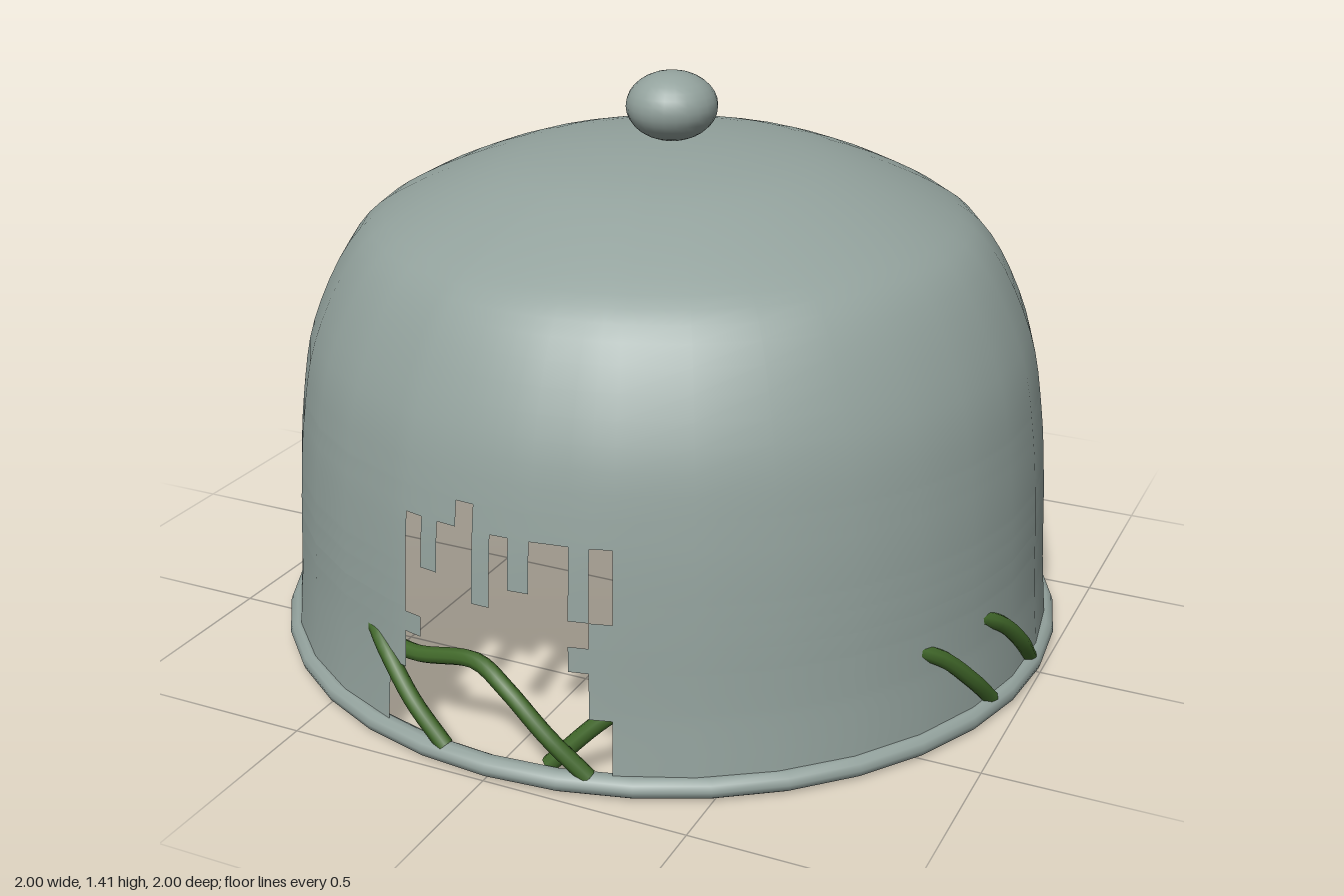
import * as THREE from 'three';

const rad = THREE.MathUtils.degToRad;
// point on the wall: angle 0 is the front, 90 is +x
const polar = (deg, r, y) => new THREE.Vector3(r * Math.sin(rad(deg)), y, r * Math.cos(rad(deg)));

// smooth dome outline as (radius, height)
const profile = new THREE.SplineCurve([
  [0.975, 0.03], [0.96, 0.2], [0.95, 0.4], [0.932, 0.6], [0.893, 0.8], [0.795, 1.0],
  [0.67, 1.1], [0.43, 1.2], [0.2, 1.24], [0, 1.25],
].map(([r, y]) => new THREE.Vector2(r, y))).getPoints(36);

function wallRadius(y) {
  for (let i = 1; i < profile.length; i++) {
    const a = profile[i - 1], b = profile[i];
    if (y <= b.y) return THREE.MathUtils.mapLinear(y, a.y, b.y, a.x, b.x);
  }
  return 0;
}

// ragged opening: [left x, right x, open height ranges]
const opening = [
  [-0.28, -0.23, [[0.05, 0.2]]],
  [-0.23, -0.185, [[0.05, 0.29], [0.34, 0.58]]],
  [-0.185, -0.14, [[0.05, 0.46]]],
  [-0.14, -0.09, [[0.05, 0.58]]],
  [-0.09, -0.045, [[0.05, 0.64]]],
  [-0.045, 0, [[0.05, 0.41]]],
  [0, 0.045, [[0.05, 0.58]]],
  [0.045, 0.095, [[0.05, 0.46]]],
  [0.095, 0.185, [[0.05, 0.58]]],
  [0.185, 0.23, [[0.05, 0.29], [0.35, 0.41]]],
  [0.23, 0.28, [[0.05, 0.18], [0.41, 0.58]]],
];

// grid wrapped round the dome, leaving out the cells of the opening
function domeGeometry() {
  const toDeg = x => THREE.MathUtils.radToDeg(Math.asin(x / 0.945));
  const angles = opening.map(c => toDeg(c[0]));
  const first = toDeg(0.28), last = 360 + toDeg(-0.28), steps = 30;
  for (let i = 0; i < steps; i++) angles.push(first + (last - first) * i / steps);
  const heights = [...new Set([...profile.map(p => p.y), ...opening.flatMap(c => c[2].flat())])]
    .sort((a, b) => a - b);
  const n = angles.length, position = [], index = [];
  heights.forEach(y => angles.forEach(a => position.push(...polar(a, wallRadius(y), y).toArray())));
  for (let j = 0; j < heights.length - 1; j++) {
    const mid = (heights[j] + heights[j + 1]) / 2;
    for (let i = 0; i < n; i++) {
      if (i < opening.length && opening[i][2].some(([lo, hi]) => mid > lo && mid < hi)) continue;
      const a = j * n + i, b = j * n + (i + 1) % n;
      index.push(a, b, b + n, a, b + n, a + n);
    }
  }
  const g = new THREE.BufferGeometry();
  g.setAttribute('position', new THREE.Float32BufferAttribute(position, 3));
  g.setIndex(index);
  g.computeVertexNormals();
  return g;
}

export function createModel() {
  const model = new THREE.Group();
  const metal = new THREE.MeshStandardMaterial({ color: 0x93a29d, side: THREE.DoubleSide });
  metal.name = 'grey metal';
  const green = new THREE.MeshStandardMaterial({ color: 0x41682a });
  green.name = 'vine green';

  const add = (name, geometry, material, parent = model) => {
    const mesh = new THREE.Mesh(geometry, material);
    mesh.name = name;
    parent.add(mesh);
    return mesh;
  };

  add('dome', domeGeometry(), metal);

  // rolled rim
  const rim = new THREE.TorusGeometry(0.973, 0.027, 10, 36).rotateX(Math.PI / 2);
  add('rim', rim.scale(1, 0.95, 1), metal).position.y = 0.026;

  // knob
  const knob = new THREE.SphereGeometry(1, 24, 16).scale(0.113, 0.085, 0.113);
  add('knob', knob, metal).position.y = 1.327;

  // vines: each starts outside the wall, passes through and waves along the inside
  const vines = new THREE.Group();
  vines.name = 'vines';
  model.add(vines);
  // [share of the span, radius, height]
  const path = [
    [0, 0.97, 0.04], [0.08, 0.972, 0.13], [0.17, 0.955, 0.22], [0.25, 0.928, 0.255],
    [0.42, 0.925, 0.22], [0.58, 0.92, 0.22], [0.75, 0.92, 0.26], [0.88, 0.925, 0.17], [1, 0.94, 0.04],
  ];
  for (const start of [14, 353, 293, 281, 238, 90, 76]) {
    const curve = new THREE.CatmullRomCurve3(path.map(([f, r, y]) => polar(start - 68 * f, r, y)));
    add('vine', new THREE.TubeGeometry(curve, 48, 0.02, 8), green, vines);
  }

  // thin seams and chips on the inner wall
  const chips = new THREE.Group();
  chips.name = 'innerChips';
  model.add(chips);
  let seed = 7;
  const random = () => (seed = (seed * 16807) % 2147483647) / 2147483647;
  for (let i = 0; i < 22; i++) {
    const deg = 190 + random() * 140, y = 0.15 + random() * 0.4;
    const size = i % 2 ? [0.006, 0.12, 0.008] : [0.015, 0.02, 0.008];
    const chip = add('chip', new THREE.BoxGeometry(...size), metal, chips);
    chip.position.copy(polar(deg, wallRadius(y) - 0.012, y));
    chip.rotation.y = rad(deg);
  }
  return model;
}
